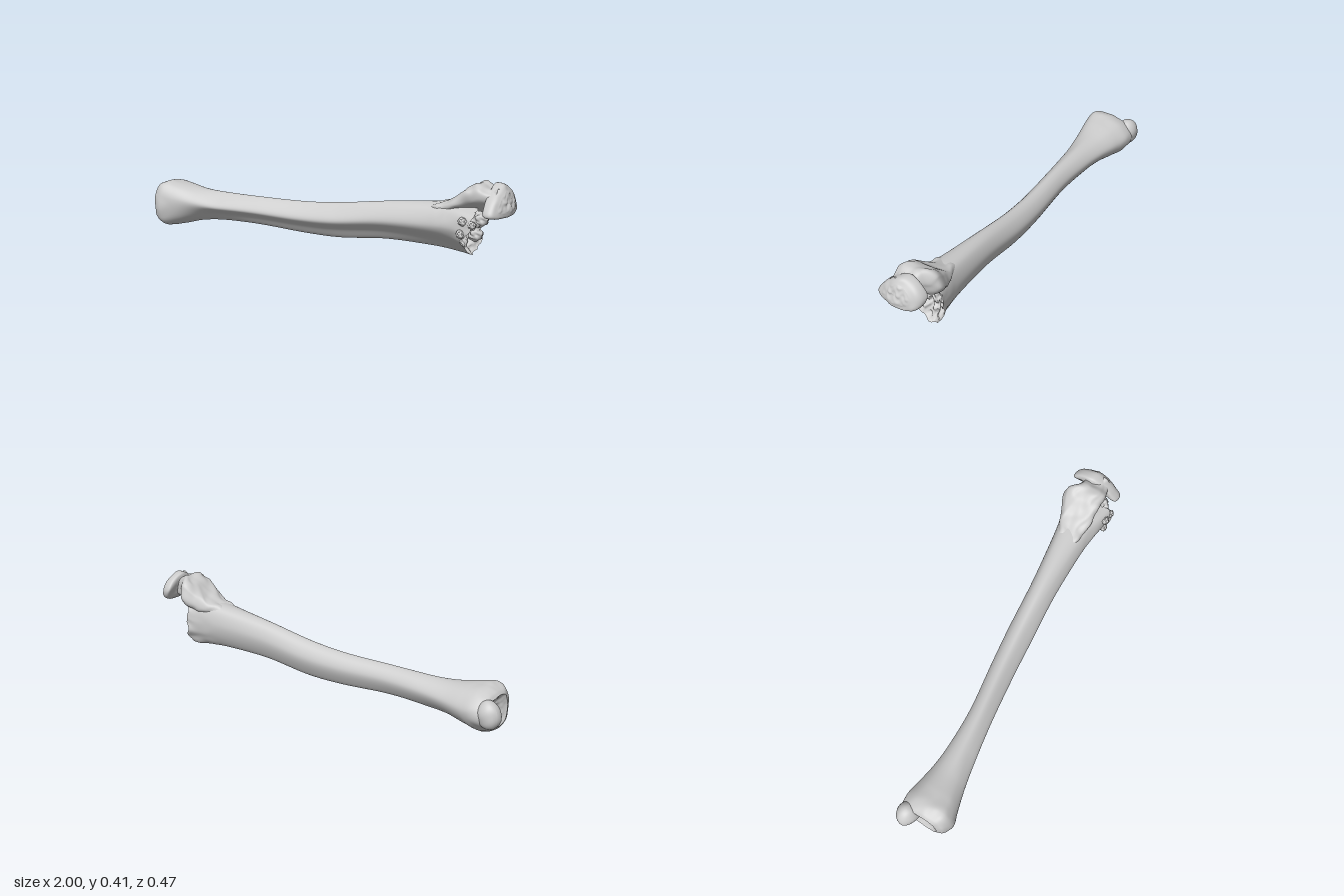
import * as THREE from 'three';

const material = new THREE.MeshStandardMaterial({ color: 0xcccccc, roughness: 0.85, side: THREE.DoubleSide });
const smooth = THREE.MathUtils.smoothstep;
const N = 72; // points around a cross-section

// Cross-section outlines as [z, y] in -1..1, front ridge first, going over the top
const outline = pts => new THREE.CatmullRomCurve3(
  pts.map(([z, y]) => new THREE.Vector3(0, y, z)), true, 'centripetal');
const ANKLE = outline([[1, .4], [.7, .95], [0, 1], [-.6, .8], [-1, .2], [-.7, -.5], [.2, -1], [.88, -.75]]);
const SHAFT = outline([[1, .05], [.55, .68], [0, 1], [-.6, .8], [-1, .2], [-.75, -.5], [-.25, -1], [.35, -.45]]);
const KNEE = outline([[1, .1], [.85, .8], [0, 1], [-.75, .92], [-1, .2], [-.9, -.5], [-.4, -1], [.2, -.72]]);
const HEAD = outline([[1, -.85], [.8, -.1], [.35, .6], [-.15, 1], [-.65, .7], [-1, -.1], [-.75, -.85], [0, -1]]);

// Smooth bumpiness from a point in space
const bumps = (x, y, z, f) =>
  (Math.sin(f * x + 1.7 * Math.sin(f * y * .8)) + Math.sin(f * y * 1.3 + 2 * Math.sin(f * z)) +
   Math.sin(f * z * 1.1 + 1.4 * Math.sin(f * x * .9 + 2))) / 3;

// Joins rings of points into a surface
function skin(name, rings) {
  const index = [];
  for (let i = 0; i < rings.length - 1; i++) {
    for (let j = 0; j < N; j++) {
      const a = i * N + j, b = i * N + (j + 1) % N;
      index.push(a, a + N, b, b, a + N, b + N);
    }
  }
  const g = new THREE.BufferGeometry().setFromPoints(rings.flat());
  g.setIndex(index);
  g.computeVertexNormals();
  const mesh = new THREE.Mesh(g, material);
  mesh.name = name;
  return mesh;
}

// Rings along x from stations [x, yMin, yMax, zMin, zMax, kind]; kind blends the outlines
function loft(stations, outlines, steps, warp) {
  const curve = (a, b, c) => new THREE.CatmullRomCurve3(
    stations.map(s => new THREE.Vector3(s[a], s[b], s[c])), false, 'catmullrom');
  const ys = curve(0, 1, 2), zs = curve(5, 3, 4);
  const rings = [];
  for (let i = 0; i <= steps; i++) {
    const { x, y: y0, z: y1 } = ys.getPoint(i / steps);
    const { x: k, y: z0, z: z1 } = zs.getPoint(i / steps);
    const kind = THREE.MathUtils.clamp(k, 0, outlines.length - 1);
    const lo = Math.floor(kind), hi = Math.min(lo + 1, outlines.length - 1);
    const ring = [];
    for (let j = 0; j < N; j++) {
      const p = outlines[lo].getPoint(j / N).lerp(outlines[hi].getPoint(j / N), kind - lo);
      p.set(x, (y0 + y1) / 2 + p.y * (y1 - y0) / 2, (z0 + z1) / 2 + p.z * (z1 - z0) / 2);
      if (warp) warp(p);
      ring.push(p);
    }
    rings.push(ring);
  }
  return rings;
}

// Closes a ring with a surface domed by depth along x, roughened by rough
function cap(name, ring, depth, rough, facesRight) {
  const mid = ring.reduce((s, p) => s.add(p), new THREE.Vector3()).divideScalar(N);
  const rings = [];
  for (let k = 0; k <= 20; k++) {
    const t = k / 20;
    rings.push(ring.map(p => {
      const q = p.clone().lerp(mid, t);
      q.x += depth * (1 - (1 - t) ** 3) + rough * Math.min(1, t * 5) * bumps(q.x, q.y, q.z, 130);
      return q;
    }));
  }
  return skin(name, facesRight ? rings : rings.reverse());
}

// Rounded lump with an uneven surface
function lump(name, pos, size, rough, freq) {
  const g = new THREE.SphereGeometry(1, 40, 28);
  const p = g.attributes.position;
  for (let i = 0; i < p.count; i++) {
    const v = new THREE.Vector3().fromBufferAttribute(p, i);
    const s = 1 + rough * bumps(v.x, v.y, v.z, freq);
    p.setXYZ(i, v.x * s * size[0], v.y * s * size[1], v.z * s * size[2]);
  }
  g.computeVertexNormals();
  const mesh = new THREE.Mesh(g, material);
  mesh.name = name;
  mesh.position.set(...pos);
  return mesh;
}

export function createModel() {
  const model = new THREE.Group();
  model.name = 'legBone';

  // Long shaft; the upper front of its broken end reaches further out
  const shaft = loft([
    [-.93, .04, .195, 0, .185, 0],
    [-.91, .015, .215, -.02, .215, 0],
    [-.86, 0, .23, -.025, .233, 0],
    [-.79, .012, .222, -.015, .217, .2],
    [-.68, .04, .205, 0, .185, .6],
    [-.55, .052, .2, .003, .152, 1],
    [-.35, .055, .2, -.012, .11, 1],
    [-.1, .042, .203, -.058, .068, 1],
    [.1, .043, .22, -.09, .042, 1],
    [.35, .07, .257, -.12, .013, 1.2],
    [.6, .07, .285, -.163, 0, 1.5],
    [.72, .06, .295, -.19, .003, 1.8],
    [.79, .05, .29, -.213, .02, 2],
  ], [ANKLE, SHAFT, KNEE], 150, p => {
    const end = Math.max(0, (p.x - .7) / .09);
    const ends = Math.max(smooth(p.x, .6, .8), 1 - smooth(p.x, -.93, -.75));
    const n = bumps(p.x, p.y, p.z, 55) * .004 * ends;
    p.x += end * (.075 * smooth(p.y, .13, .2) * smooth(p.z, -.14, -.03) + .01 * bumps(0, p.y, p.z, 90));
    p.y += n;
    p.z += n;
  });
  model.add(skin('shaft', shaft));
  model.add(cap('ankleJointFace', shaft[0], .025, .003, false));
  model.add(cap('spongyBrokenFace', shaft[shaft.length - 1], -.06, .02, true));

  // Knob on the inner side of the ankle end
  const knob = lump('ankleKnob', [-.935, .135, .03], [.064, .068, .053], .06, 3);
  knob.rotation.y = -.25;
  model.add(knob);

  // Neck rising from the top of the broken end
  const neck = loft([
    [.6, .2, .272, -.14, -.04, 0],
    [.7, .22, .312, -.178, -.03, 0],
    [.75, .235, .342, -.2, -.028, 0],
    [.81, .25, .393, -.22, -.028, 0],
    [.86, .262, .4, -.18, -.03, 0],
    [.9, .28, .383, -.17, -.04, 0],
    [.95, .28, .39, -.17, -.05, 0],
  ], [KNEE], 50, p => {
    const n = bumps(p.x, p.y, p.z, 60) * .006;
    p.y += n;
    p.z += n;
  });
  model.add(skin('neck', neck));

  // Slab-like head, leaning back at the top and curved towards its sides
  const head = loft([
    [.91, .285, .385, -.18, -.05, 0],
    [.925, .264, .405, -.228, 0, 0],
    [.955, .262, .407, -.233, .01, 0],
    [.975, .268, .4, -.22, 0, 0],
    [.984, .285, .38, -.19, -.03, 0],
  ], [HEAD], 24, p => {
    p.x += -.3 * (p.y - .32) - 1.6 * (p.z + .11) ** 2 + .004 * bumps(p.x, p.y, p.z, 50);
  });
  model.add(skin('head', head));
  model.add(cap('headBack', head[0], -.004, .002, false));
  model.add(cap('headFace', head[head.length - 1], .009, .004, true));

  // Ragged spongy fragments along the front of the break
  [
    [.84, .225, -.03, .045], [.87, .185, -.02, .034], [.82, .24, .012, .02],
    [.88, .25, -.045, .036], [.81, .18, .012, .02], [.87, .23, .012, .018],
  ].forEach(([x, y, z, r]) =>
    model.add(lump('spongyFragment', [x, y, z], [r, r * .95, r * .9], .2, 6)));

  return model;
}
